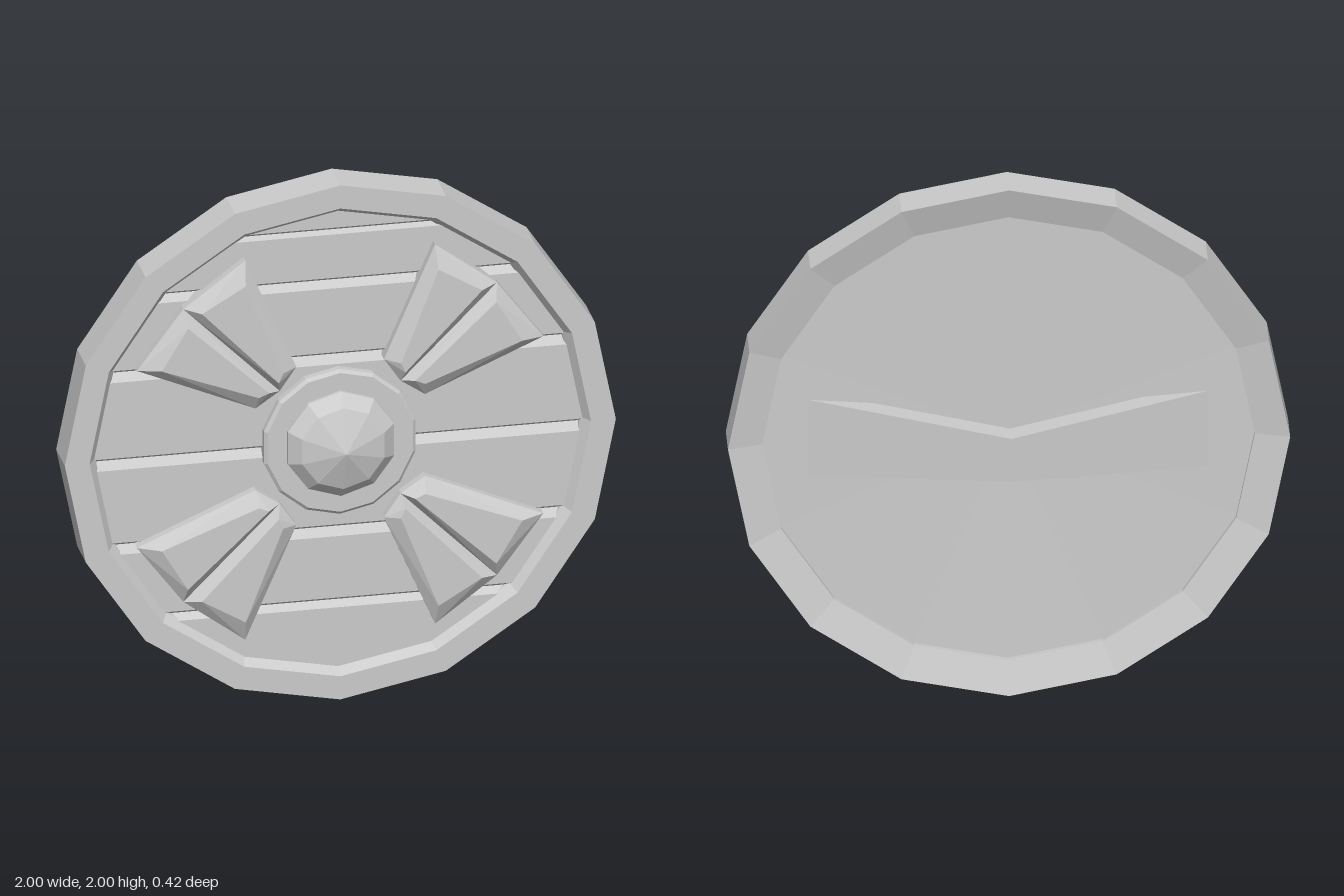
import * as THREE from 'three';
import { ConvexGeometry } from 'three/addons/geometries/ConvexGeometry.js';

const material = new THREE.MeshStandardMaterial({ color: 0xcccccc, flatShading: true });
const SIDES = 16;

function part(name, geometry) {
  const flat = geometry.index ? geometry.toNonIndexed() : geometry;
  flat.computeVertexNormals();
  const mesh = new THREE.Mesh(flat, material);
  mesh.name = name;
  return mesh;
}

// Faceted ring or dome around the z axis from [radius, z] pairs
function turned(name, profile, sides) {
  const points = profile.map(([r, z]) => new THREE.Vector2(r, z));
  return part(name, new THREE.LatheGeometry(points, sides).rotateX(Math.PI / 2));
}

function convex(name, points) {
  return part(name, new ConvexGeometry(points.map((p) => new THREE.Vector3(...p))));
}

// Horizontal planks with V grooves, trimmed to the polygon of the rim
function planks() {
  const R = 0.9, face = 0.064, depth = 0.025;
  const corners = [];
  for (let i = 0; i <= SIDES / 2; i++) {
    const a = (i / SIDES) * Math.PI * 2;
    corners.push([-R * Math.cos(a), R * Math.sin(a)]);
  }
  const lookup = (table, y) => {
    const i = Math.max(1, table.findIndex((row) => row[0] >= y - 1e-9));
    const [y0, v0] = table[i - 1], [y1, v1] = table[i];
    return v0 + ((v1 - v0) * (y - y0)) / (y1 - y0);
  };
  const heights = [[-R, face]];
  for (const [y, bevel] of [[-0.635, 0.022], [-0.35, 0.03], [-0.02, 0.03], [0.32, 0.03], [0.61, 0.025], [0.805, 0.01]]) {
    heights.push([y - bevel, face], [y, face - depth], [y + 0.016, face]);
  }
  heights.push([R, face]);

  const rows = [...new Set([...heights, ...corners].map((row) => row[0]))].sort((a, b) => a - b);
  const position = [], index = [];
  rows.forEach((y, i) => {
    const w = lookup(corners, y), z = lookup(heights, y);
    position.push(-w, y, z, w, y, z);
    if (i > 0) {
      const a = 2 * i - 2;
      index.push(a, a + 1, a + 3, a, a + 3, a + 2);
    }
  });
  const geometry = new THREE.BufferGeometry();
  geometry.setAttribute('position', new THREE.Float32BufferAttribute(position, 3));
  geometry.setIndex(index);
  return part('planks', geometry);
}

// Flared bracket: two plates with bevelled tops, meeting in a shallow valley
function bracket(angle) {
  const group = new THREE.Group();
  group.name = 'bracket';
  const outline = [[0.31, 0], [0.33, 0.105], [0.765, 0.278], [0.805, 0]];
  const top = [[0.35, 0.025], [0.365, 0.062], [0.71, 0.215], [0.755, 0.036]];
  for (const side of [-1, 1]) {
    group.add(convex('bracketHalf', [
      ...outline.map(([s, p]) => [s, p * side, 0.04]),
      ...outline.map(([s, p]) => [s, p * side, 0.097]),
      ...top.map(([s, p]) => [s, p * side, 0.133]),
    ]));
  }
  group.rotation.z = angle;
  return group;
}

// One arm of the bent grip, widening towards its foot
function handleArm(side) {
  const points = [];
  for (const [x, z, h] of [[0, -0.21, 0.085], [0, -0.125, 0.085], [0.725, 0.018, 0.15], [0.48, 0.018, 0.128]]) {
    points.push([x * side, 0.01 - h, z], [x * side, 0.01 + h, z]);
  }
  return convex('handleArm', points);
}

export function createModel() {
  const model = new THREE.Group();
  model.name = 'roundShield';

  // Rim, flat in front and sloping inwards behind
  model.add(turned('rim', [
    [0.876, -0.013], [1, -0.05], [1, 0.1], [0.91, 0.1], [0.88, 0.055], [0.876, -0.013],
  ], SIDES));

  // Front planks and shallow dished back
  model.add(planks());
  model.add(turned('backPanel', [[0, 0.03], [0.89, 0.01]], SIDES));

  // Centre boss on its washer
  model.add(turned('bossRing', [[0.282, 0.03], [0.282, 0.09], [0.27, 0.1], [0, 0.1]], 14));
  model.add(turned('boss', [[0.203, 0.09], [0.203, 0.112], [0.157, 0.156], [0, 0.21]], 10));

  // Diagonal brackets
  for (let i = 0; i < 4; i++) model.add(bracket(Math.PI / 4 + (i * Math.PI) / 2));

  // Grip on the back
  const handle = new THREE.Group();
  handle.name = 'handle';
  handle.add(handleArm(-1), handleArm(1));
  model.add(handle);

  // Stand on the ground
  model.children.forEach((child) => { child.position.y += 1; });
  return model;
}
